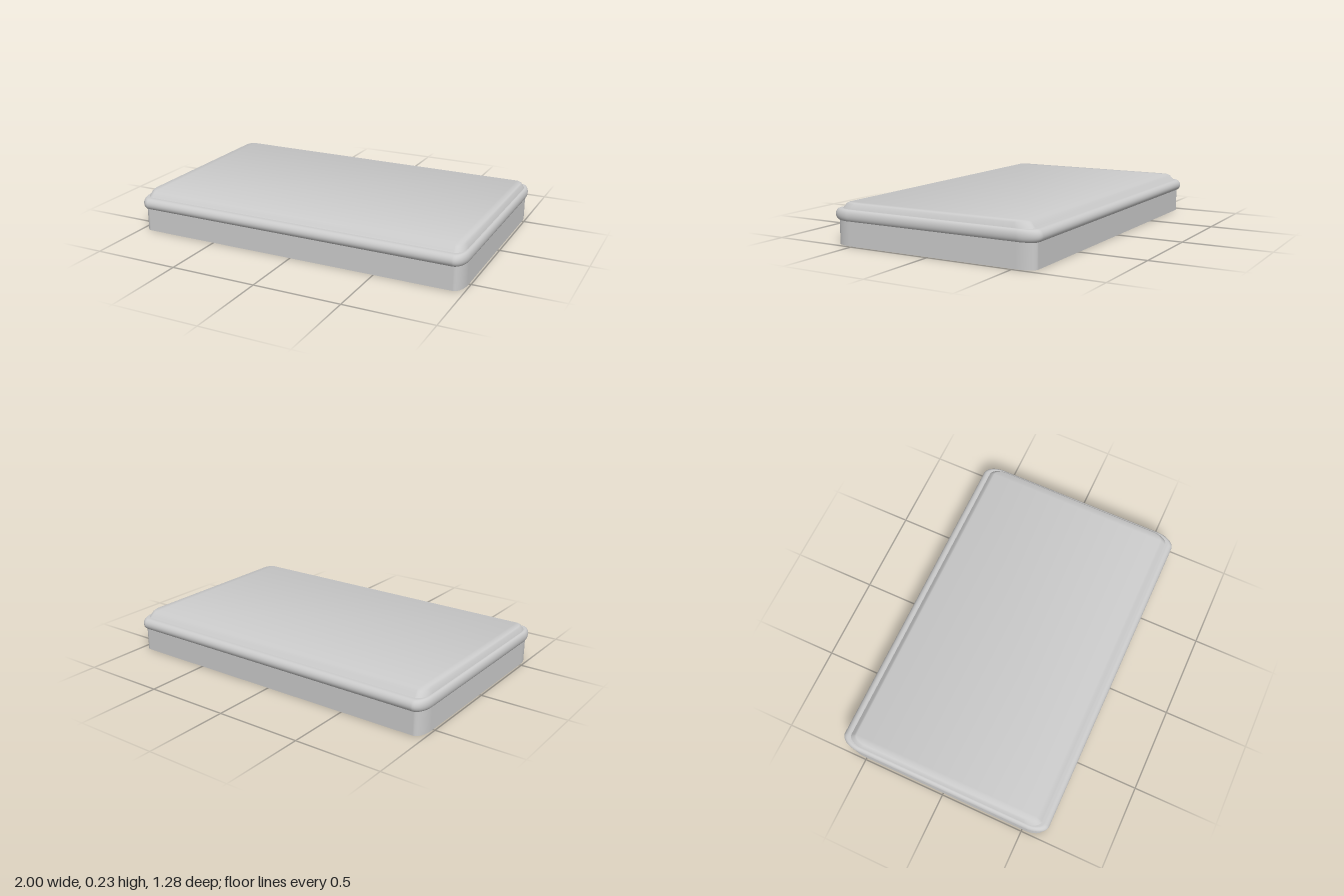
import * as THREE from 'three';

const STEPS = 10;            // segments per rounded corner
const N = 4 * (STEPS + 1);   // points per ring

// Rounded rectangle with elliptical corners; ring = [halfX, halfZ, cornerX, cornerZ, y]
function ringPoints([hx, hz, rx, rz, y]) {
  const pts = [];
  for (let q = 0; q < 4; q++) {
    const sx = q === 0 || q === 3 ? 1 : -1;
    const sz = q < 2 ? 1 : -1;
    for (let i = 0; i <= STEPS; i++) {
      const a = (q + i / STEPS) * Math.PI / 2;
      pts.push(sx * (hx - rx) + rx * Math.cos(a), y, sz * (hz - rz) + rz * Math.sin(a));
    }
  }
  return pts;
}

// Strips running front to back across a ring, facing up or down
function capIndex(start, up) {
  const idx = [];
  for (let k = 0; k < N / 2 - 1; k++) {
    const a = start + k, b = start + N - 1 - k, c = a + 1, d = b - 1;
    if (up) idx.push(a, b, c, c, b, d);
    else idx.push(a, c, b, c, d, b);
  }
  return idx;
}

// Wall through a stack of rings, bottom to top; a soft cap blends with the wall
function loft(rings, softCap = false) {
  const geo = new THREE.BufferGeometry();
  geo.setAttribute('position', new THREE.Float32BufferAttribute(rings.flatMap(ringPoints), 3));
  const idx = [];
  for (let j = 0; j < rings.length - 1; j++) {
    for (let k = 0; k < N; k++) {
      const a = j * N + k, b = j * N + (k + 1) % N;
      idx.push(a, a + N, b, b, a + N, b + N);
    }
  }
  geo.setIndex(idx);
  geo.computeVertexNormals();
  if (softCap) {
    const start = (rings.length - 1) * N;
    const normal = geo.attributes.normal;
    const v = new THREE.Vector3();
    for (let i = start; i < start + N; i++) {
      v.fromBufferAttribute(normal, i);
      v.y += 1;
      v.normalize();
      normal.setXYZ(i, v.x, v.y, v.z);
    }
    geo.setIndex(idx.concat(capIndex(start, true)));
  }
  return geo;
}

// Flat downward-facing panel
function bottomPanel(ring) {
  const geo = new THREE.BufferGeometry();
  geo.setAttribute('position', new THREE.Float32BufferAttribute(ringPoints(ring), 3));
  geo.setIndex(capIndex(0, false));
  geo.computeVertexNormals();
  return geo;
}

export function createModel() {
  const group = new THREE.Group();
  const material = new THREE.MeshStandardMaterial({ color: 0xcccccc });
  const add = (name, geometry) => {
    const mesh = new THREE.Mesh(geometry, material);
    mesh.name = name;
    group.add(mesh);
  };

  // Straight-sided base
  const base = [0.988, 0.615, 0.05, 0.1];
  add('baseWall', loft([[...base, 0], [...base, 0.15]]));
  add('basePanel', bottomPanel([...base, 0]));

  // Rounded rim overhanging the base
  const rim = [[0.95, 0.56, 0.03, 0.06, 0.133]];
  for (let i = 0; i <= 14; i++) {
    const a = (i / 14 - 0.5) * Math.PI;
    const c = Math.cos(a);
    rim.push([0.98 + 0.02 * c, 0.607 + 0.033 * c, 0.045 + 0.02 * c, 0.085 + 0.033 * c,
      0.1665 + 0.0335 * Math.sin(a)]);
  }
  rim.push([0.95, 0.56, 0.03, 0.06, 0.2]);
  add('rim', loft(rim));

  // Bevelled top panel
  add('topPanel', loft([
    [0.98, 0.597, 0.05, 0.09, 0.198],
    [0.977, 0.589, 0.048, 0.085, 0.206],
    [0.968, 0.572, 0.042, 0.075, 0.226],
    [0.96, 0.56, 0.036, 0.065, 0.233],
  ], true));

  return group;
}
